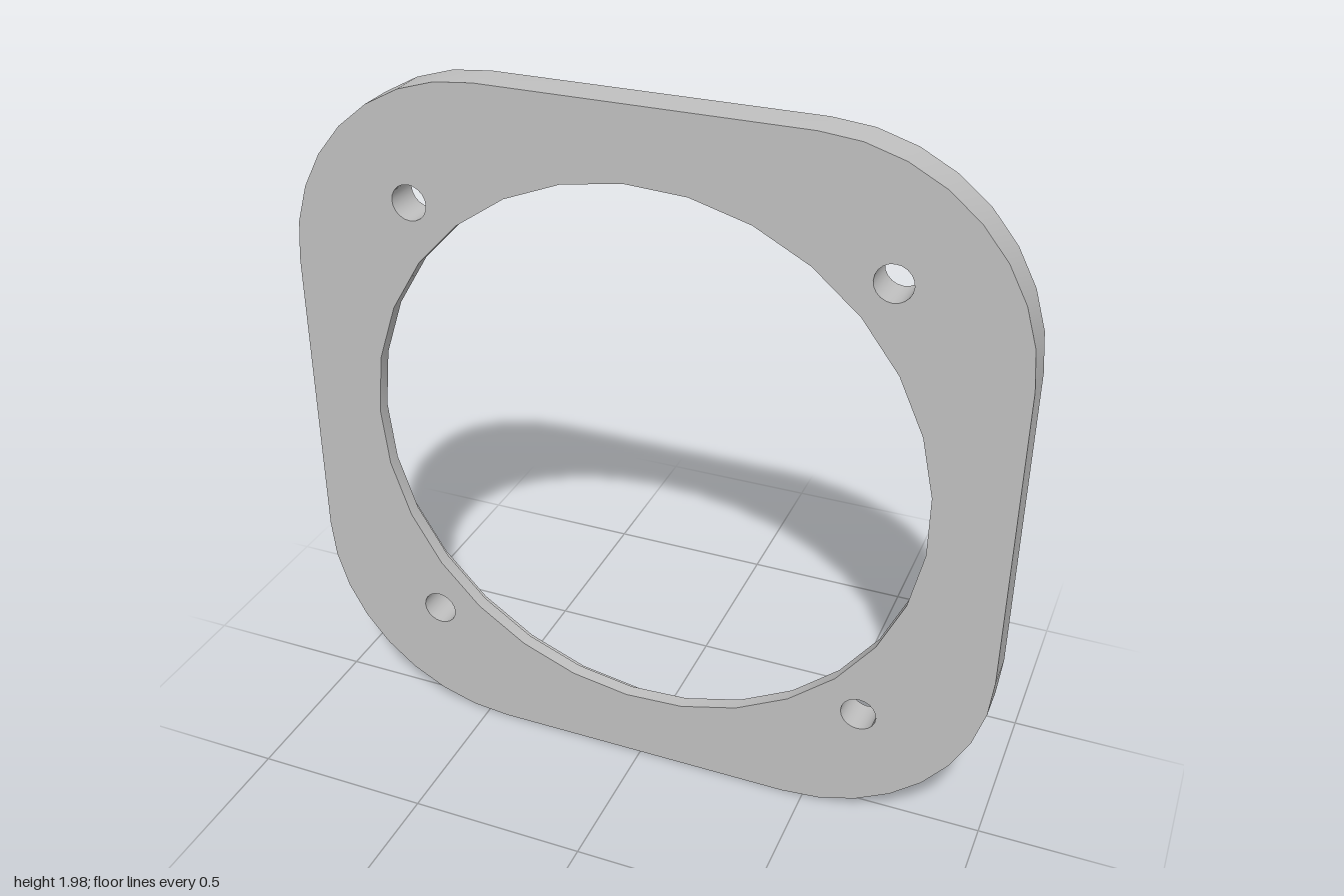
import * as THREE from 'three';
import { toCreasedNormals, mergeGeometries } from 'three/addons/utils/BufferGeometryUtils.js';

const HALF_W = 1, HALF_H = 0.99, CORNER = 0.56;
const FRONT = 0.052, BACK = -0.052, LEDGE = 0.012;
const BORE = 0.79, RECESS = 0.845, SIDES = 29;
const SCREW_OFFSET = 0.645, SCREW_RADIUS = 0.05;

// Counter-clockwise polygon whose first corner points to -x
function ring(radius, sides, cx = 0, cy = 0) {
  return Array.from({ length: sides }, (_, i) => {
    const a = Math.PI + (i / sides) * Math.PI * 2;
    return new THREE.Vector2(cx + radius * Math.cos(a), cy + radius * Math.sin(a));
  });
}

// Counter-clockwise rounded rectangle, eight segments per corner
function roundedOutline() {
  const points = [];
  [[1, 1], [-1, 1], [-1, -1], [1, -1]].forEach(([sx, sy], q) => {
    for (let i = 0; i <= 8; i++) {
      const a = (q + i / 8) * Math.PI / 2;
      points.push(new THREE.Vector2(
        sx * (HALF_W - CORNER) + CORNER * Math.cos(a),
        sy * (HALF_H - CORNER) + CORNER * Math.sin(a)));
    }
  });
  return points;
}

// Flat face with holes, turned to face -z when needed
function face(outline, holes, z, backward = false) {
  const shape = new THREE.Shape(outline);
  shape.holes = holes.map(h => new THREE.Path(h));
  const geometry = new THREE.ShapeGeometry(shape);
  if (backward) geometry.rotateX(Math.PI);
  return geometry.translate(0, 0, z);
}

// Wall along a closed outline; inward walls face the middle of a hole
function wall(outline, z0, z1, inward = false) {
  const loop = inward ? [...outline].reverse() : outline;
  const positions = [];
  loop.forEach((p, i) => {
    const q = loop[(i + 1) % loop.length];
    positions.push(p.x, p.y, z0, q.x, q.y, z0, q.x, q.y, z1);
    positions.push(p.x, p.y, z0, q.x, q.y, z1, p.x, p.y, z1);
  });
  const geometry = new THREE.BufferGeometry();
  geometry.setAttribute('position', new THREE.Float32BufferAttribute(positions, 3));
  return toCreasedNormals(geometry, 0.5);
}

export function createModel() {
  const group = new THREE.Group();
  group.name = 'mountingPlate';
  const grey = new THREE.MeshStandardMaterial({ color: 0xc0c0c0 });
  grey.name = 'plain grey';

  const add = (name, geometry) => {
    const mesh = new THREE.Mesh(geometry, grey);
    mesh.name = name;
    mesh.position.y = HALF_H;
    group.add(mesh);
  };

  const outline = roundedOutline();
  const bore = ring(BORE, SIDES);
  const recess = ring(RECESS, SIDES);
  const screws = [];
  for (const sx of [-1, 1])
    for (const sy of [-1, 1])
      screws.push(ring(SCREW_RADIUS, 20, sx * SCREW_OFFSET, sy * SCREW_OFFSET));

  // Plate faces and rounded rim
  add('frontFace', face(outline, [bore, ...screws], FRONT));
  add('backFace', face(outline, [recess, ...screws], BACK, true));
  add('outerRim', wall(outline, BACK, FRONT));

  // Stepped central opening, wider at the back
  add('boreWall', wall(bore, LEDGE, FRONT, true));
  add('recessLedge', face(recess, [bore], LEDGE, true));
  add('recessWall', wall(recess, BACK, LEDGE, true));

  // Four screw holes
  add('screwHoles', mergeGeometries(screws.map(s => wall(s, BACK, FRONT, true))));

  return group;
}
